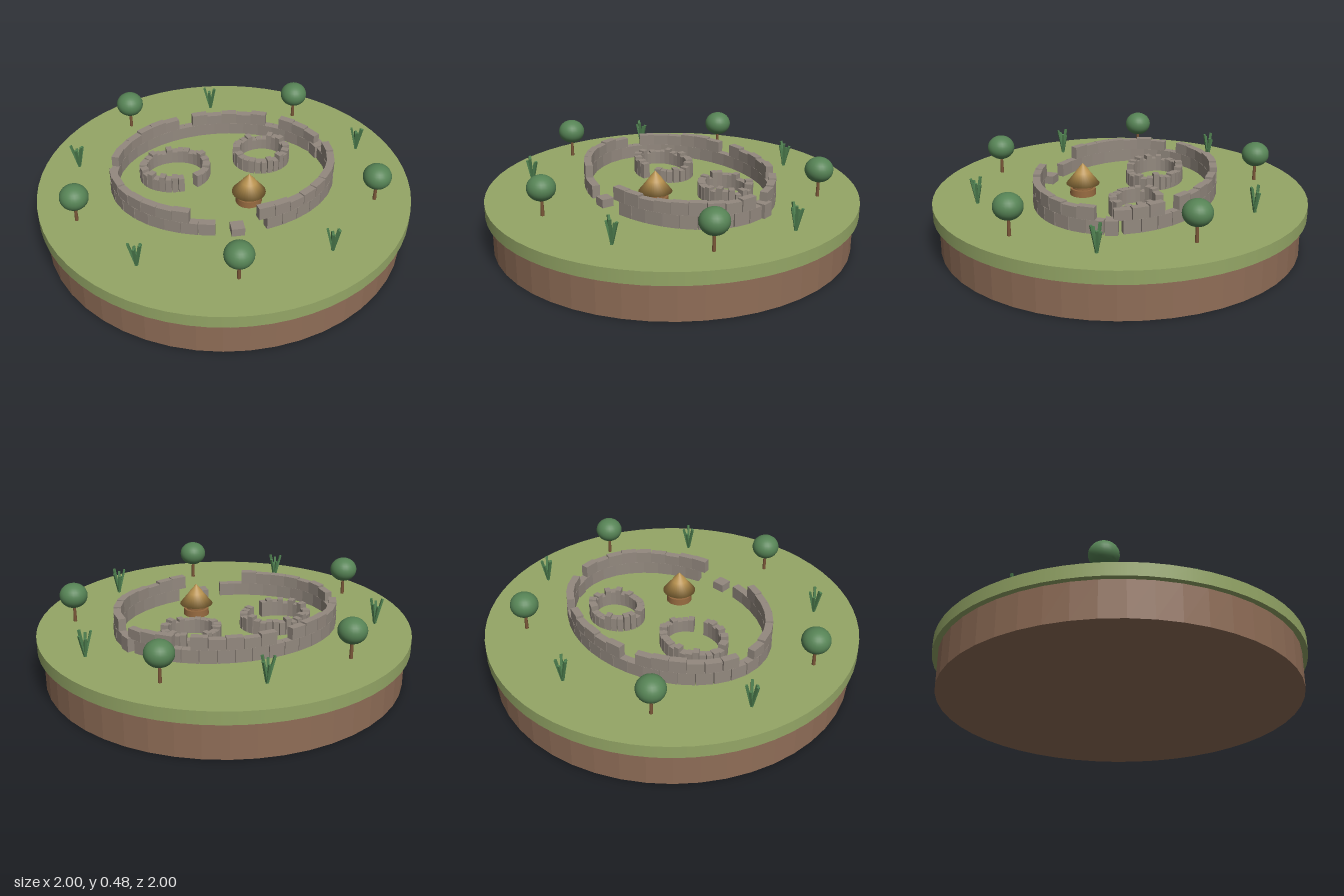
import * as THREE from 'three';

const GROUND = 0.265;

const mat = (name, color, opts = {}) => {
  const m = new THREE.MeshStandardMaterial({ color, ...opts });
  m.name = name;
  return m;
};

// small seeded generator for the uneven stonework
function seeded(seed) {
  let s = seed;
  return () => (s = (s * 16807) % 2147483647) / 2147483647;
}

export function createModel() {
  const group = new THREE.Group();
  const grass = mat('grass', 0x94a666);
  const earth = mat('earth', 0x8f6d57, { flatShading: true });
  const stone = mat('stone', 0x93897f);
  const leaf = mat('leaf', 0x568355);
  const blade = mat('blade', 0x4f8050);
  const bark = mat('bark', 0x7a5638);
  const thatch = mat('thatch', 0xb8924f, { side: THREE.DoubleSide });
  const clay = mat('clay', 0x95693f);

  const add = (parent, name, geo, material, x = 0, y = 0, z = 0) => {
    const m = new THREE.Mesh(geo, material);
    m.name = name;
    m.position.set(x, y, z);
    parent.add(m);
    return m;
  };
  const part = (name, x = 0, z = 0) => {
    const g = new THREE.Group();
    g.name = name;
    g.position.set(x, GROUND, z);
    group.add(g);
    return g;
  };

  // ground disc
  add(group, 'earthBase', new THREE.CylinderGeometry(0.97, 0.97, 0.2, 48), earth, 0, 0.1, 0);
  add(group, 'grassTop', new THREE.CylinderGeometry(1, 1, 0.069, 64), grass, 0, 0.2305, 0);

  // one block, long side along the tangent
  const unitBox = new THREE.BoxGeometry(1, 1, 1);
  const block = (parent, name, x, y, z, len, h, thick, angle) => {
    const b = add(parent, name, unitBox, stone, x, y + h / 2, z);
    b.scale.set(len, h, thick);
    b.rotation.y = -angle;
    return b;
  };

  // blocks spaced evenly along a tilted ellipse
  const alongEllipse = (rx, rz, tilt, count, offset, place) => {
    const curve = new THREE.EllipseCurve(0, 0, rx, rz, 0, Math.PI * 2, false, tilt);
    const len = curve.getLength() / count;
    for (let i = 0; i < count; i++) {
      const u = ((i + offset) / count) % 1;
      const p = curve.getPointAt(u), t = curve.getTangentAt(u);
      place(p.x, p.y, len, Math.atan2(t.y, t.x));
    }
  };

  // great outer wall: two broken courses
  const rnd = seeded(71);
  const wall = part('outerWall', 0.012, -0.035);
  const gate = { x: -0.157, z: 0.425 };
  const sideGap = { x: 0.57, z: 0.095 };
  for (let course = 0; course < 2; course++) {
    alongEllipse(0.583, 0.45, 0.36, 38, course * 0.5 + 0.25, (x, z, len, a) => {
      const toGate = Math.hypot(x - gate.x, z - gate.z);
      if (toGate < 0.115 || Math.hypot(x - sideGap.x, z - sideGap.z) < 0.04) return;
      const r = rnd();
      if (course && ((x < gate.x && toGate < 0.22) || r < 0.1)) return;
      const h = course ? 0.052 + rnd() * 0.018 : 0.07;
      block(wall, 'wallStone', x, course * 0.07, z, len * 0.99, h, 0.042 - course * 0.002, a);
    });
  }
  block(wall, 'gateStone', -0.157, 0, 0.425, 0.068, 0.045, 0.065, 0.35);
  block(wall, 'sideStone', 0.573, 0, 0.065, 0.065, 0.075, 0.062, 0.05);

  // two inner rings of upright stones
  const ring = (name, cx, cz, rx, rz, tilt, count, gap) => {
    const g = part(name, cx, cz);
    alongEllipse(rx, rz, tilt, count, 0, (x, z, len, a) => {
      if (gap && Math.hypot(x - gap[0], z - gap[1]) < 0.045) return;
      block(g, 'ringStone', x, 0, z, len * 0.96, 0.06 + rnd() * 0.035, 0.04, a);
    });
  };
  ring('innerRingLarge', -0.198, -0.19, 0.172, 0.134, 0.35, 30, [0.015, 0.15]);
  ring('innerRingSmall', 0.287, -0.085, 0.138, 0.118, 0.3, 26);

  // round hut with a thatched cone
  const lathe = (pts) => new THREE.LatheGeometry(pts.map(([r, y]) => new THREE.Vector2(r, y)), 32);
  const hut = part('hut', 0.037, 0.198);
  add(hut, 'hutFoot', new THREE.CylinderGeometry(0.068, 0.07, 0.035, 24), clay, 0, 0.0175, 0);
  add(hut, 'hutWall', new THREE.CylinderGeometry(0.055, 0.055, 0.04, 24), clay, 0, 0.05, 0);
  add(hut, 'hutRoof', lathe([[0, 0.066], [0.089, 0.06], [0.04, 0.122], [0.033, 0.134], [0, 0.172]]), thatch);

  // round trees
  const crown = new THREE.SphereGeometry(0.075, 24, 16);
  const trunk = new THREE.CylinderGeometry(0.007, 0.01, 0.11, 8);
  for (const [x, z] of [[-0.2, -0.75], [0.685, -0.37], [-0.812, -0.1], [0.618, 0.52], [-0.308, 0.682]]) {
    const tree = part('tree', x, z);
    add(tree, 'trunk', trunk, bark, 0, 0.055, 0);
    add(tree, 'crown', crown, leaf, 0, 0.15, 0).scale.y = 0.89;
  }

  // tufts of leaning blades
  for (const [x, z] of [[0.3, -0.69], [-0.622, -0.525], [0.81, 0.095], [-0.692, 0.36], [0.193, 0.742]]) {
    const tuft = part('tuft', x, z);
    for (let i = 0; i < 5; i++) {
      const h = 0.142 - (i % 3) * 0.018;
      const geo = new THREE.BoxGeometry(0.013, h, 0.011);
      geo.translate(0, h / 2, 0);
      const b = add(tuft, 'blade', geo, blade);
      b.rotation.order = 'YXZ';
      b.rotation.y = 0.45 + (i * Math.PI * 2) / 5;
      b.rotation.x = 0.2 + (i % 2) * 0.05;
    }
  }
  return group;
}
